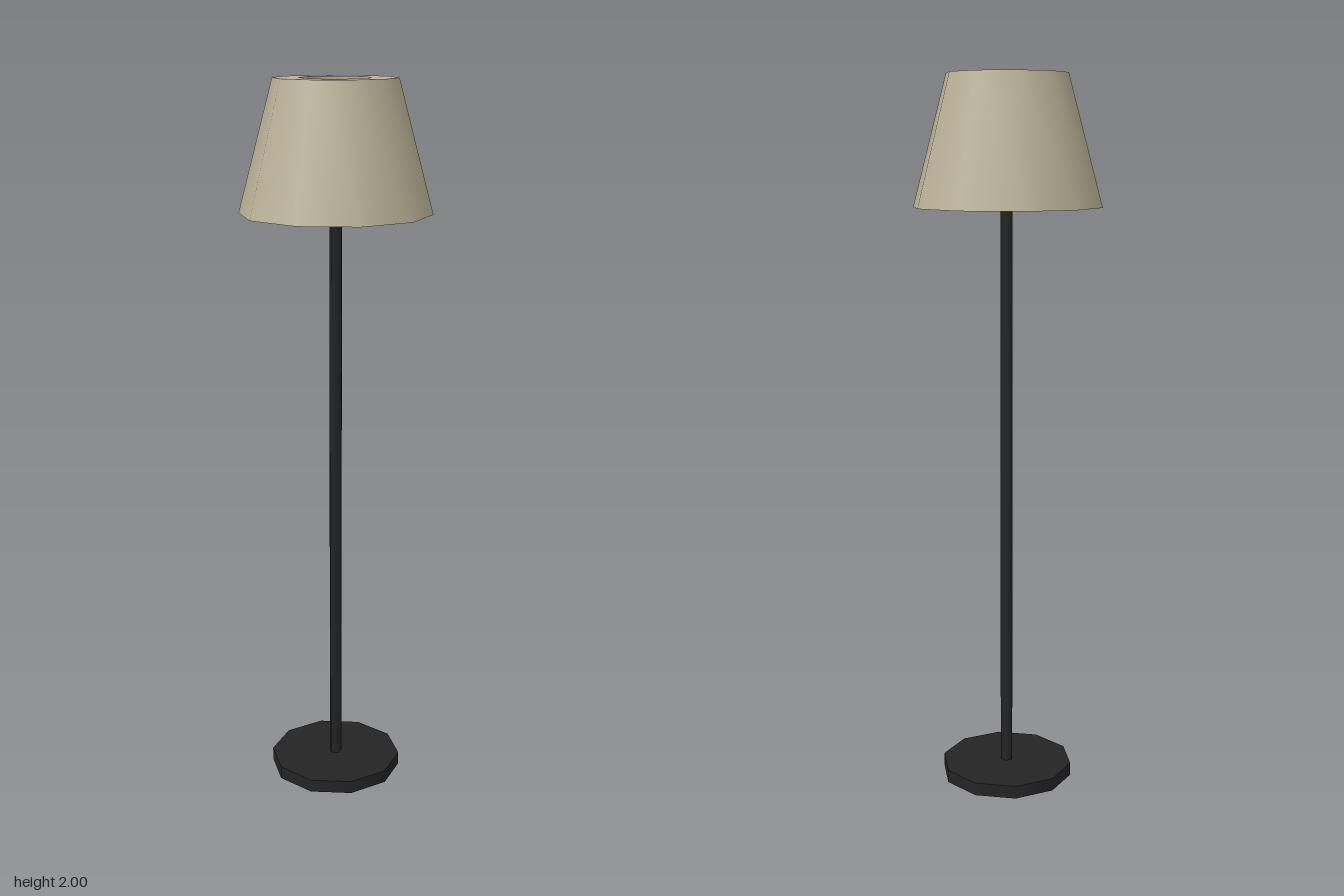
import * as THREE from 'three';
import { mergeGeometries } from 'three/addons/utils/BufferGeometryUtils.js';

const SIDES = 10;

// Ring solid from a closed profile: smooth around, sharp at each profile corner
function ringSolid(profile) {
  const bands = profile.map((p, i) => {
    const q = profile[(i + 1) % profile.length];
    return new THREE.LatheGeometry([new THREE.Vector2(...p), new THREE.Vector2(...q)], SIDES);
  });
  return mergeGeometries(bands);
}

export function createModel() {
  const lamp = new THREE.Group();
  lamp.name = 'floorLamp';

  const black = new THREE.MeshStandardMaterial({ color: 0x242424 });
  black.name = 'black metal';
  const beige = new THREE.MeshStandardMaterial({ color: 0xbab298 });
  beige.name = 'beige fabric';

  const add = (name, geometry, material, y = 0) => {
    const mesh = new THREE.Mesh(geometry, material);
    mesh.name = name;
    mesh.position.y = y;
    lamp.add(mesh);
  };

  // Flat ten-sided foot
  const baseHeight = 0.037;
  add('base', new THREE.CylinderGeometry(0.189, 0.189, baseHeight, SIDES), black, baseHeight / 2);

  // Thin five-sided pole ending inside the shade, one corner towards -x
  const poleTop = 1.76;
  const poleLength = poleTop - baseHeight;
  add('pole',
    new THREE.CylinderGeometry(0.018, 0.018, poleLength, 5, 1, false, -Math.PI / 2),
    black, baseHeight + poleLength / 2);

  // Thick tapered shade with an open core
  add('shade', ringSolid([[0.262, 1.646], [0.167, 2], [0.097, 2], [0.12, 1.646]]), beige);

  return lamp;
}
